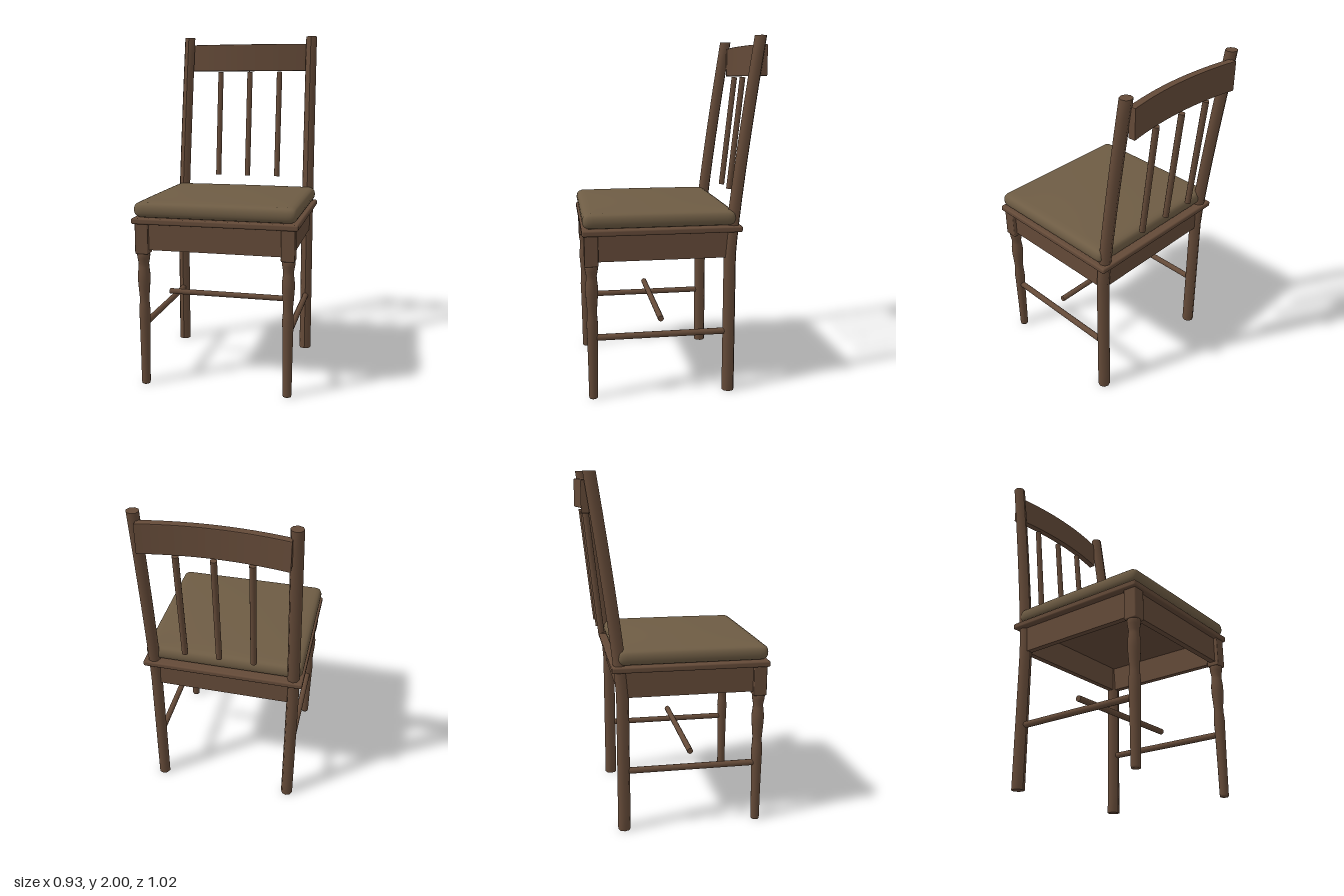
import * as THREE from 'three';
import { mergeVertices } from 'three/addons/utils/BufferGeometryUtils.js';
import { RoundedBoxGeometry } from 'three/addons/geometries/RoundedBoxGeometry.js';

const wood = new THREE.MeshStandardMaterial({ color: 0x644a38 });
const fabric = new THREE.MeshStandardMaterial({ color: 0x6e5c44 });

// Domed cushion: a box whose grid is packed towards the edges, then rounded
function cushionGeometry(w, h, d, r, dome) {
  const geo = new THREE.BoxGeometry(2, 2, 2, 24, 8, 24);
  geo.deleteAttribute('uv');
  geo.deleteAttribute('normal');
  const merged = mergeVertices(geo);
  const pos = merged.attributes.position;
  const half = new THREE.Vector3(w / 2, h / 2, d / 2);
  const inner = half.clone().subScalar(r);
  const p = new THREE.Vector3(), core = new THREE.Vector3();
  const pack = (t) => Math.sin((t * Math.PI) / 2);
  for (let i = 0; i < pos.count; i++) {
    p.fromBufferAttribute(pos, i);
    p.set(pack(p.x), pack(p.y), pack(p.z)).multiply(half);
    core.copy(p).clamp(inner.clone().negate(), inner);
    p.sub(core).setLength(r).add(core);
    const u = p.x / half.x, v = p.z / half.z;
    if (p.y > 0) p.y += dome * (1 - u * u) * (1 - v * v) * (p.y / half.y);
    pos.setXYZ(i, p.x, p.y, p.z);
  }
  merged.computeVertexNormals();
  return merged;
}

// Back post: upright to the seat, then raked backwards
function postGeometry(side) {
  const geo = new THREE.CylinderGeometry(0.034, 0.036, 2, 8, 20);
  geo.translate(0, 1, 0);
  const pos = geo.attributes.position;
  for (let i = 0; i < pos.count; i++) {
    const y = pos.getY(i);
    const t = Math.max(0, y - 0.8) / 1.2;
    pos.setX(i, pos.getX(i) + side * (0.41 - 0.01 * t));
    pos.setZ(i, pos.getZ(i) - 0.315 - 0.153 * Math.pow(t, 1.2));
  }
  geo.computeVertexNormals();
  return geo;
}

// Curved top rail, bowed towards the front in the middle
function railGeometry() {
  const h = 0.17;
  const geo = new RoundedBoxGeometry(0.78, h, 0.042, 3, 0.012);
  const n = 20;
  const shape = new THREE.Shape();
  const bow = (x) => -0.454 - 0.038 * (x / 0.385) ** 2;
  geo.dispose();
  for (let i = 0; i <= n; i++) {
    const x = -0.385 + (0.77 * i) / n;
    shape[i ? 'lineTo' : 'moveTo'](x, -bow(x) - 0.021);
  }
  for (let i = n; i >= 0; i--) {
    const x = -0.385 + (0.77 * i) / n;
    shape.lineTo(x, -bow(x) + 0.021);
  }
  const rail = new THREE.ExtrudeGeometry(shape, {
    depth: h - 0.012, bevelEnabled: true, bevelThickness: 0.006,
    bevelSize: 0.004, bevelOffset: -0.004, bevelSegments: 2,
  });
  rail.rotateX(-Math.PI / 2);
  rail.translate(0, 1.791, 0);
  return rail;
}

export function createModel() {
  const chair = new THREE.Group();
  chair.name = 'chair';

  const add = (name, geo, x = 0, y = 0, z = 0, mat = wood) => {
    const mesh = new THREE.Mesh(geo, mat);
    mesh.name = name;
    mesh.position.set(x, y, z);
    chair.add(mesh);
    return mesh;
  };
  // Round bar between two points
  const rod = (name, a, b, r) => {
    const from = new THREE.Vector3(...a), to = new THREE.Vector3(...b);
    const mesh = add(name, new THREE.CylinderGeometry(r, r, from.distanceTo(to), 12));
    mesh.position.copy(from).add(to).multiplyScalar(0.5);
    mesh.quaternion.setFromUnitVectors(new THREE.Vector3(0, 1, 0), to.sub(from).normalize());
  };

  // Seat
  add('seatBoard', new RoundedBoxGeometry(0.93, 0.034, 0.885, 2, 0.01), 0, 0.955, 0.0675);
  add('cushion', cushionGeometry(0.915, 0.086, 0.852, 0.04, 0.016), 0, 1.016, 0.08, fabric);

  // Aprons
  add('frontApron', new THREE.BoxGeometry(0.76, 0.15, 0.035), 0, 0.865, 0.46);
  add('backApron', new THREE.BoxGeometry(0.76, 0.15, 0.035), 0, 0.865, -0.315);

  // Turned front leg profile
  const turned = [
    [0, 0], [0.023, 0], [0.025, 0.01], [0.027, 0.2], [0.03, 0.38], [0.032, 0.43],
    [0.028, 0.48], [0.027, 0.51], [0.031, 0.56], [0.035, 0.61], [0.035, 0.65],
    [0.03, 0.69], [0.029, 0.71], [0.035, 0.74], [0.037, 0.76], [0.034, 0.775], [0, 0.775],
  ].map(([r, y]) => new THREE.Vector2(r, y));

  for (const side of [-1, 1]) {
    const tag = side > 0 ? 'left' : 'right';
    add(tag + 'SideApron', new THREE.BoxGeometry(0.035, 0.15, 0.74), side * 0.41, 0.865, 0.07);
    add(tag + 'FrontLeg', new THREE.LatheGeometry(turned, 16), side * 0.41, 0, 0.46);
    add(tag + 'FrontLegBlock', new RoundedBoxGeometry(0.076, 0.175, 0.076, 1, 0.006), side * 0.41, 0.855, 0.46);
    add(tag + 'BackPost', postGeometry(side));
    rod(tag + 'SideStretcher', [side * 0.41, 0.355, 0.455], [side * 0.41, 0.355, -0.3], 0.018);
  }
  rod('crossStretcher', [-0.385, 0.437, 0.072], [0.385, 0.437, 0.072], 0.017);

  // Backrest
  add('topRail', railGeometry());
  for (const x of [-0.195, 0, 0.195]) {
    rod('backSpindle', [x, 1.11, -0.407], [x, 1.78, -0.479], 0.0175);
  }
  return chair;
}
